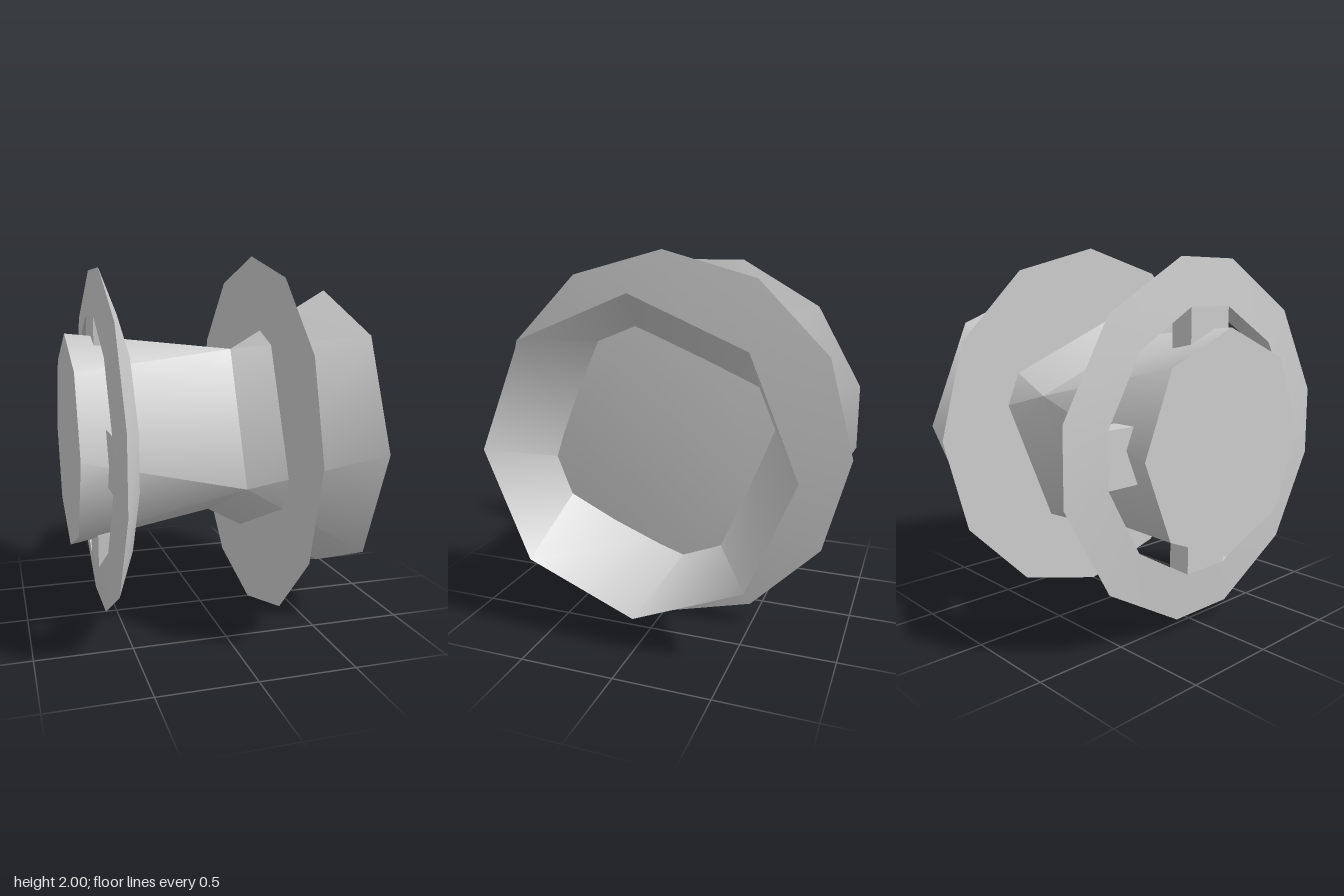
import * as THREE from 'three';
import { toCreasedNormals } from 'three/addons/utils/BufferGeometryUtils.js';

const material = new THREE.MeshStandardMaterial({ color: 0xcccccc, side: THREE.DoubleSide });
const AXIS_Y = 1; // height of the shared axis, which runs along x

// One cross-section: count points at station x, angle measured from +y towards +z
const section = (x, count, radius, angleOf = (k) => (k * 2 * Math.PI) / count) =>
  Array.from({ length: count }, (_, k) => {
    const a = angleOf(k);
    return [x, AXIS_Y + radius * Math.cos(a), radius * Math.sin(a)];
  });

// Skin a list of closed cross-sections
function loft(sections, crease = 0.87) {
  const n = sections[0].length;
  const index = [];
  for (let s = 0; s < sections.length - 1; s++) {
    for (let k = 0; k < n; k++) {
      const a0 = s * n + k, a1 = s * n + ((k + 1) % n);
      index.push(a0, a1, a0 + n, a1, a1 + n, a0 + n);
    }
  }
  const geometry = new THREE.BufferGeometry();
  geometry.setAttribute('position', new THREE.Float32BufferAttribute(sections.flat(2), 3));
  geometry.setIndex(index);
  return toCreasedNormals(geometry, crease);
}

export function createModel() {
  const model = new THREE.Group();
  model.name = 'flangedSpool';
  const add = (name, geometry, parent = model) => {
    const mesh = new THREE.Mesh(geometry, material);
    mesh.name = name;
    parent.add(mesh);
    return mesh;
  };

  // Throat is a turned square: each corner is shared by two octagon corners
  const throat = section(0.11, 8, 0.541, (k) => Math.PI / 8 + Math.floor(k / 2) * (Math.PI / 2));

  // Barrel with a closed end, and open bell
  add('barrel', loft([section(-0.75, 8, 0), section(-0.75, 8, 0.583), throat]));
  add('bell', loft([throat, section(0.745, 8, 0.816)]));

  // Twelve-sided flange: flat back, slightly conical front that closes the bell
  add('flange', loft([
    section(0.3, 12, 0), section(0.3, 12, 1), section(0.36, 12, 0.5), section(0.36, 12, 0),
  ]));

  // Wheel rim: four short sides at the spokes, longer sides meeting on the diagonals
  const outline = [];
  for (let q = 0; q < 4; q++) {
    const a = (q * Math.PI) / 2;
    for (const [y, z] of [[0.92, -0.19], [0.92, 0.19], [0.655, 0.655]]) {
      outline.push([y * Math.cos(a) - z * Math.sin(a), y * Math.sin(a) + z * Math.cos(a)]);
    }
  }
  const rimLoop = (x, s) => outline.map(([y, z]) => [x, AXIS_Y + s * y, s * z]);
  const wheel = new THREE.Group();
  wheel.name = 'wheel';
  model.add(wheel);
  add('wheelRim', loft([
    rimLoop(-0.615, 0.74), rimLoop(-0.59, 1), rimLoop(-0.49, 0.74), rimLoop(-0.615, 0.74),
  ], 0.6), wheel);

  // Four spokes joining rim and barrel
  for (let q = 0; q < 4; q++) {
    const spoke = new THREE.BoxGeometry(0.125, 0.28, 0.28);
    spoke.translate(-0.5525, 0.541, 0);
    spoke.rotateX((q * Math.PI) / 2);
    spoke.translate(0, AXIS_Y, 0);
    add('spoke', spoke, wheel);
  }
  return model;
}
